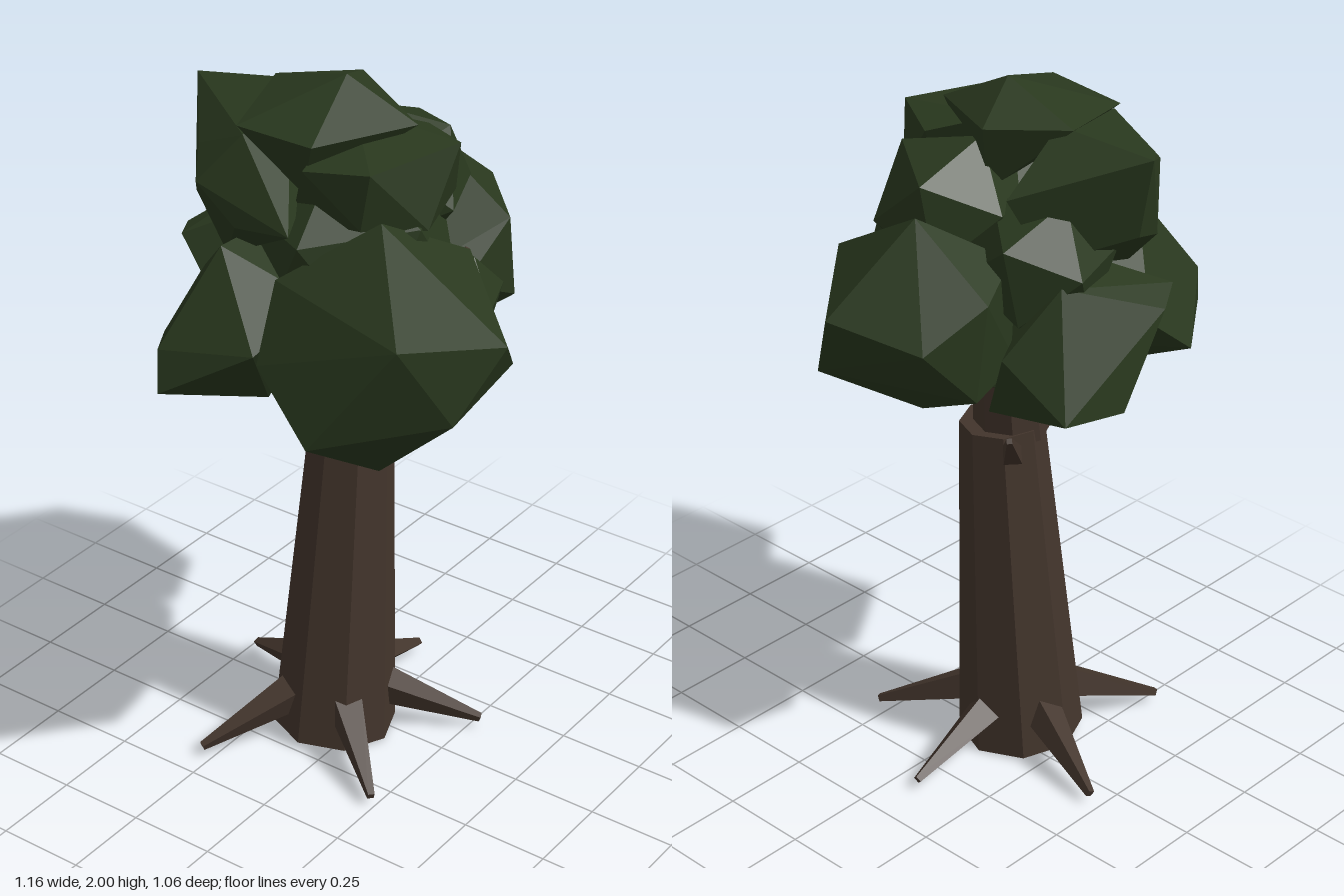
import * as THREE from 'three';
import { ConvexGeometry } from 'three/addons/geometries/ConvexGeometry.js';

const V = (a) => new THREE.Vector3(...a);

export function createModel() {
  const tree = new THREE.Group();
  tree.name = 'tree';
  const bark = new THREE.MeshStandardMaterial({ color: 0x43352c, flatShading: true });
  bark.name = 'bark brown';
  const leaf = new THREE.MeshStandardMaterial({ color: 0x29381e, flatShading: true });
  leaf.name = 'leaf green';

  function add(name, geo, mat) {
    const mesh = new THREE.Mesh(geo, mat);
    mesh.name = name;
    tree.add(mesh);
    return mesh;
  }

  // Tapered prism running between two points
  function limb(name, from, to, r0, r1, sides) {
    const a = V(from), b = V(to), dir = b.clone().sub(a);
    const mesh = add(name, new THREE.CylinderGeometry(r1, r0, dir.length(), sides), bark);
    mesh.quaternion.setFromUnitVectors(new THREE.Vector3(0, 1, 0), dir.normalize());
    mesh.position.copy(a).add(b).multiplyScalar(0.5);
  }

  // Irregular leaf clump: faceted skin around a few corners
  const hull = (name, corners) => add(name, new ConvexGeometry(corners.map(V)), leaf);

  // Matrix whose axes follow one corner direction and lean toward a second
  function frame(first, second) {
    const x = first.clone().normalize();
    const z = x.clone().cross(second).normalize();
    return new THREE.Matrix4().makeBasis(x, z.clone().cross(x), z);
  }

  // Regular leaf clump: two neighbouring corners point toward p and q
  const phi = (1 + Math.sqrt(5)) / 2;
  const rest = frame(new THREE.Vector3(0, 1, phi), new THREE.Vector3(0, -1, phi)).invert();
  function clump(name, center, r, p, q, squash = 1) {
    const c = V(center);
    const geo = new THREE.IcosahedronGeometry(r, 0);
    geo.applyMatrix4(rest);
    geo.applyMatrix4(frame(V(p).sub(c), V(q).sub(c)));
    geo.scale(1, squash, 1);
    geo.computeVertexNormals();
    add(name, geo, leaf).position.copy(c);
  }

  // Trunk, crown stem and branches
  limb('trunk', [-0.063, 0.015, -0.08], [-0.01, 1.02, -0.05], 0.176, 0.115, 8);
  limb('crownStem', [-0.035, 0.99, -0.065], [0.03, 1.5, -0.08], 0.105, 0.075, 8);
  limb('sideBranch', [0.055, 0.97, -0.15], [0.24, 1.15, -0.31], 0.035, 0.01, 4);
  limb('innerBranch', [0, 1.1, -0.05], [0.13, 1.52, 0.22], 0.04, 0.01, 4);

  // Roots spread around the base
  const rootTips = [[0.36, -0.08], [0.15, 0.28], [-0.33, 0.24], [-0.42, -0.28], [0.08, -0.47]];
  for (const [x, z] of rootTips) {
    const k = 0.3;
    const from = [-0.06 + (x + 0.06) * k, 0.14, -0.08 + (z + 0.08) * k];
    limb('root', from, [x, 0.035, z], 0.057, 0.013, 4);
  }

  // Large lower clumps
  hull('frontLeaves', [
    [-0.58, 1.25, 0.22], [-0.49, 1.55, 0.43], [-0.15, 1.45, 0.53], [0.05, 1.28, 0.42],
    [0.05, 1.57, 0.28], [-0.23, 1.73, 0.2], [-0.28, 1.05, 0.23], [-0.49, 1.38, 0],
    [-0.38, 1.57, -0.02], [-0.3, 1.27, 0.47], [0.08, 1.4, 0.1], [-0.2, 1.17, -0.05],
  ]);
  hull('leftLeaves', [
    [0.58, 1.51, 0], [0.33, 1.73, -0.07], [0.33, 1.57, -0.32], [0.5, 1.47, -0.26],
    [0.35, 1.3, -0.3], [0.49, 1.29, 0.13], [0.24, 1.13, 0], [0.3, 1.33, 0.26],
    [0.3, 1.55, 0.24], [0.02, 1.4, 0.05], [0.14, 1.6, -0.22], [0.12, 1.3, -0.22],
    [0.14, 1.4, 0.2],
  ]);
  hull('rightBackLeaves', [
    [-0.37, 1.61, -0.2], [-0.57, 1.25, -0.26], [-0.54, 1.36, -0.28], [-0.49, 1.4, -0.01],
    [-0.15, 1.39, -0.44], [-0.31, 1.26, -0.45], [-0.25, 1.13, -0.15], [-0.15, 1.6, -0.2],
    [-0.3, 1.5, 0.05], [0, 1.3, -0.15],
  ]);
  hull('backLeaves', [
    [-0.1, 1.48, -0.53], [0.05, 1.24, -0.53], [0.24, 1.26, -0.5], [0.28, 1.4, -0.32],
    [0.15, 1.58, -0.4], [-0.2, 1.5, -0.47], [0, 1.16, -0.3], [0.2, 1.18, -0.2],
    [-0.15, 1.22, -0.35], [0, 1.6, -0.25],
  ]);
  clump('lowLeaves', [0.04, 1.25, 0.09], 0.23, [0.05, 1.06, 0.12], [0.24, 1.2, 0.15], 0.8);
  clump('underLeaves', [-0.03, 1.33, -0.14], 0.25, [-0.03, 1.08, -0.18], [0.2, 1.25, -0.2], 0.8);

  // Upper clumps
  hull('topLeaves', [
    [-0.03, 2, -0.05], [-0.29, 1.91, 0.03], [-0.27, 1.9, -0.22], [0, 1.93, -0.3],
    [0.15, 1.93, -0.13], [0, 1.9, 0.15], [-0.22, 1.74, -0.05], [0.1, 1.74, -0.1],
  ]);
  hull('topBackLeaves', [
    [-0.05, 1.9, -0.52], [-0.05, 1.68, -0.48], [-0.25, 1.81, -0.36], [-0.34, 1.75, -0.3],
    [-0.27, 1.88, -0.2], [0, 1.93, -0.25], [0.18, 1.78, -0.24], [-0.35, 1.68, 0],
    [-0.35, 1.66, -0.17], [0.1, 1.6, -0.3], [-0.18, 1.63, -0.43], [-0.22, 1.5, -0.3],
  ]);
  hull('upperFrontLeaves', [
    [-0.25, 1.86, 0.18], [0.03, 1.87, 0.26], [-0.29, 1.84, 0], [-0.11, 1.68, 0.26],
    [0.12, 1.85, 0.1], [0.1, 1.7, 0.2], [-0.25, 1.7, 0.15], [0, 1.6, 0.1],
    [-0.2, 1.65, -0.1], [0, 1.9, -0.05],
  ]);
  clump('upperLeftLeaves', [0.12, 1.68, 0], 0.21, [0.3, 1.8, -0.05], [0.29, 1.65, 0.12]);
  clump('coreLeaves', [-0.08, 1.54, 0], 0.3, [-0.36, 1.66, 0.03], [-0.1, 1.7, 0.3]);
  clump('coreBackLeaves', [0.06, 1.58, -0.25], 0.2, [0.12, 1.6, -0.45], [0.2, 1.65, -0.3]);
  clump('smallFrontLeaves', [0.08, 1.4, 0.21], 0.14, [0.05, 1.41, 0.36], [0.17, 1.42, 0.3]);

  return tree;
}
